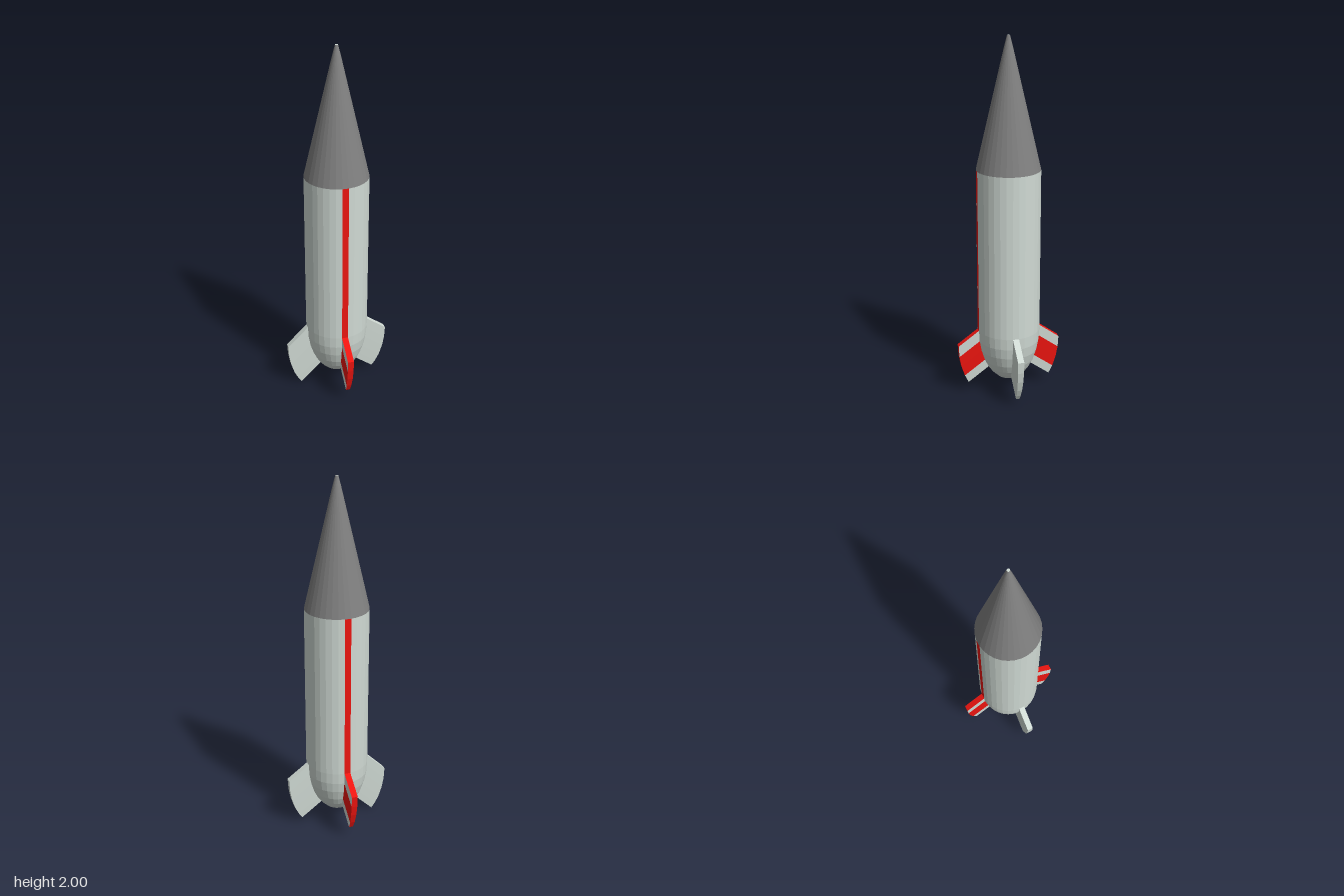
import * as THREE from 'three';

const SIDES = 32;
const STEP = (Math.PI * 2) / SIDES;
const R = 0.175;          // hull radius
const BASE = 0.375;       // where the tail dome meets the barrel
const SHOULDER = 1.295;   // where the barrel meets the nose
const DOME = 0.315;       // dome height
const RINGS = [BASE, 0.31, 0.25, 0.19, 0.145, 0.115, 0.083, 0.066, 0.06];

const material = (color) =>
  new THREE.MeshStandardMaterial({ color, flatShading: true, side: THREE.DoubleSide });

const domeRadius = (y) => R * Math.sqrt(Math.max(0, 1 - ((BASE - y) / DOME) ** 2));

// Profile of [radius, y] pairs, listed from bottom to top, spun around y
function spin(name, points, mat, start = 0, count = SIDES) {
  const profile = points.map(([r, y]) => new THREE.Vector2(r, y));
  const mesh = new THREE.Mesh(
    new THREE.LatheGeometry(profile, count, start * STEP, count * STEP), mat);
  mesh.name = name;
  return mesh;
}

function quadMesh(name, quads, mat) {
  const positions = quads.flatMap(([a, b, c, d]) => [a, b, c, a, c, d]).flat();
  const geometry = new THREE.BufferGeometry();
  geometry.setAttribute('position', new THREE.Float32BufferAttribute(positions, 3));
  geometry.computeVertexNormals();
  const mesh = new THREE.Mesh(geometry, mat);
  mesh.name = name;
  return mesh;
}

// A fin is one column of dome facets swept outward and down; it thins toward its foot
function makeFin(name, { last, drop, striped }, pale, red) {
  const reach = 0.117;
  const rings = RINGS.slice(0, last + 1);
  const point = (i, out, side) => {
    const r = domeRadius(rings[i]);
    return [
      r * Math.cos(STEP / 2) + out * reach,
      rings[i] - out * drop,
      side * r * Math.sin(STEP / 2),
    ];
  };
  const paleQuads = [];
  const redQuads = [];
  const edges = striped ? redQuads : paleQuads;

  for (let i = 0; i < last; i++) {
    const flanks = striped && (i === 1 || i === 2) ? redQuads : paleQuads;
    for (const s of [1, -1]) {
      const quad = [point(i + 1, 0, s), point(i + 1, 1, s), point(i, 1, s), point(i, 0, s)];
      flanks.push(s > 0 ? quad : quad.reverse());
    }
    edges.push([point(i + 1, 1, 1), point(i + 1, 1, -1), point(i, 1, -1), point(i, 1, 1)]);
  }
  // Upper and lower edges
  const rim = (i) => [point(i, 0, 1), point(i, 1, 1), point(i, 1, -1), point(i, 0, -1)];
  edges.push(rim(0), rim(last).reverse());

  const fin = new THREE.Group();
  fin.name = name;
  fin.add(quadMesh('finPanels', paleQuads, pale));
  if (striped) fin.add(quadMesh('finRedPanels', redQuads, red));
  return fin;
}

export function createModel() {
  const model = new THREE.Group();
  model.name = 'rocket';
  const pale = material(0xd0dad4);
  const grey = material(0x808080);
  const red = material(0xee1510);

  // Rounded tail
  const dome = RINGS.map((y) => [domeRadius(y), y]).reverse();
  model.add(spin('tailDome', dome, pale));

  // Barrel halves, each with a one-facet stripe, front and back
  const barrel = [[R, BASE], [R, SHOULDER]];
  for (const [side, start] of [['left', 0], ['right', SIDES / 2]]) {
    model.add(spin(side + 'Barrel', barrel, pale, start, SIDES / 2 - 1));
    model.add(spin(side === 'left' ? 'backStripe' : 'frontStripe', barrel, red,
      start + SIDES / 2 - 1, 1));
  }

  // Nose cone with a tiny flat tip
  model.add(spin('noseCone',
    [[R, SHOULDER], [0.033, 1.9], [0.021, 1.95], [0.008, 2]], grey));
  model.add(spin('noseTip', [[0.008, 2], [0, 2]], pale));

  // Four fins, a quarter turn apart
  const long = { last: 5, drop: 0.085, striped: false };
  const swept = { last: 5, drop: 0.115, striped: false };
  const striped = { last: 4, drop: 0.085, striped: true };
  [['leftFin', long], ['backFin', striped], ['rightFin', swept], ['frontFin', striped]]
    .forEach(([name, spec], i) => {
      const fin = makeFin(name, spec, pale, red);
      fin.rotation.y = i * Math.PI / 2 - STEP / 2;
      model.add(fin);
    });

  model.position.x = -0.003;
  return model;
}
